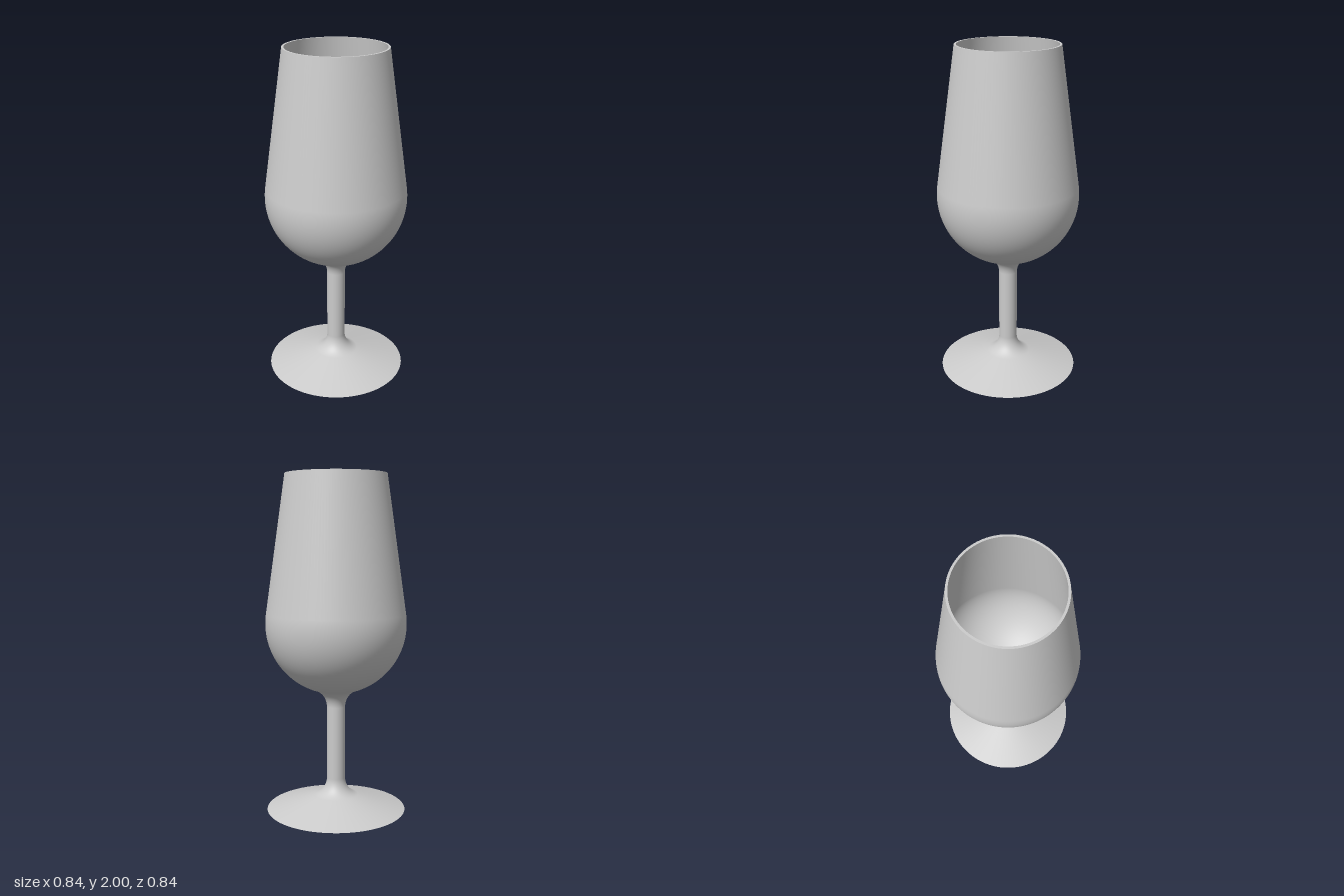
import * as THREE from 'three';

const SEGMENTS = 128;
const point = (x, y) => new THREE.Vector2(x, y);

// Points along a circular arc, angles in degrees
function arc(cx, cy, r, from, to, steps) {
  return Array.from({ length: steps + 1 }, (_, i) => {
    const a = THREE.MathUtils.degToRad(from + ((to - from) * i) / steps);
    return point(Math.max(0, cx + r * Math.cos(a)), cy + r * Math.sin(a));
  });
}

export function createModel() {
  const group = new THREE.Group();
  group.name = 'stemGlass';
  const material = new THREE.MeshStandardMaterial({ color: 0xcccccc });

  const bowlY = 1.13, bowlR = 0.417, wall = 0.0125;
  const rimR = 0.297, footR = 0.418, fillet = 0.11, filletX = 0.165;
  const tangent = 8.1; // where the round bowl meets its straight sides

  // Each smooth section is its own lathe, so the edges between them stay sharp
  const turn = (name, profile) => {
    const mesh = new THREE.Mesh(new THREE.LatheGeometry(profile, SEGMENTS), material);
    mesh.name = name;
    group.add(mesh);
  };

  // Flat underside of the foot
  turn('footUnderside', [point(0, 0), point(footR, 0)]);

  // Sloping foot, filleted stem and outer bowl
  turn('footStemAndBowl', [
    point(footR, 0),
    ...arc(filletX, 0.19, fillet, 253.4, 180, 16),
    ...arc(filletX, 0.63, fillet, 180, 108.2, 16),
    ...arc(0, bowlY, bowlR, -71.8, tangent, 32).slice(1),
    point(rimR, 2),
  ]);

  // Flat rim
  turn('rim', [point(rimR, 2), point(rimR - wall, 2)]);

  // Hollow inside of the bowl
  turn('bowlInside', [
    point(rimR - wall, 2),
    ...arc(0, bowlY, bowlR - wall, tangent, -90, 40),
  ]);

  return group;
}
